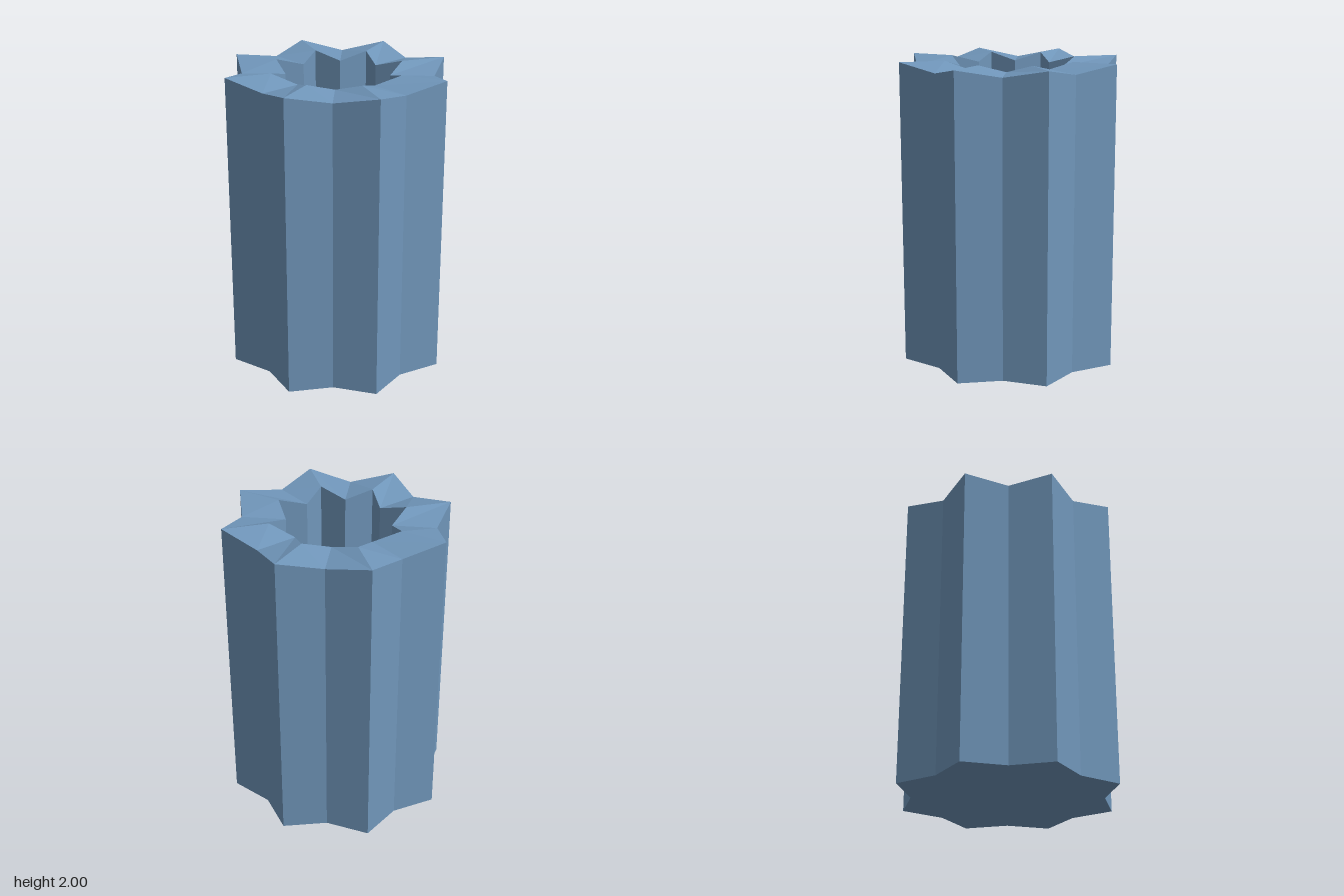
import * as THREE from 'three';

const POINTS = 8;
const TWIST = 0.021; // slight turn of the star about the vertical axis

// Star-shaped ring: even corners are valleys, odd corners are tips.
function starRing(valleyRadius, tipRadius, valleyY, tipY) {
  return Array.from({ length: POINTS * 2 }, (_, i) => {
    const a = (i * Math.PI) / POINTS + TWIST;
    const r = i % 2 ? tipRadius : valleyRadius;
    return new THREE.Vector3(r * Math.cos(a), i % 2 ? tipY : valleyY, r * Math.sin(a));
  });
}

// Flat-shaded band joining two rings; a ring may collapse to one centre point.
function band(from, to) {
  const points = [];
  for (let i = 0; i < from.length; i++) {
    const j = (i + 1) % from.length;
    if (from[i] !== from[j] && to[i] !== to[j]) points.push(from[i], to[i], to[j], from[i], to[j], from[j]);
    else if (to[i] === to[j]) points.push(from[i], to[i], from[j]);
    else points.push(from[i], to[i], to[j]);
  }
  const geometry = new THREE.BufferGeometry().setFromPoints(points);
  geometry.computeVertexNormals();
  return geometry;
}

const centre = (y) => Array(POINTS * 2).fill(new THREE.Vector3(0, y, 0));

export function createModel() {
  const group = new THREE.Group();
  group.name = 'starVase';
  const blue = new THREE.MeshStandardMaterial({ color: 0x7096ba, flatShading: true });
  blue.name = 'dusty blue';

  const FLOOR = 0.1;
  const outerBase = starRing(0.62, 0.746, 0, 0);
  const outerTop = starRing(0.62, 0.746, 1.95, 2);
  const innerTop = starRing(0.337, 0.446, 1.95, 2);
  const innerBase = starRing(0.337, 0.446, FLOOR, FLOOR);

  const parts = {
    underside: [centre(0), outerBase],
    outerWall: [outerBase, outerTop],
    rim: [outerTop, innerTop],
    innerWall: [innerTop, innerBase],
    innerFloor: [innerBase, centre(FLOOR)],
  };
  for (const [name, [from, to]] of Object.entries(parts)) {
    const mesh = new THREE.Mesh(band(from, to), blue);
    mesh.name = name;
    group.add(mesh);
  }
  return group;
}
